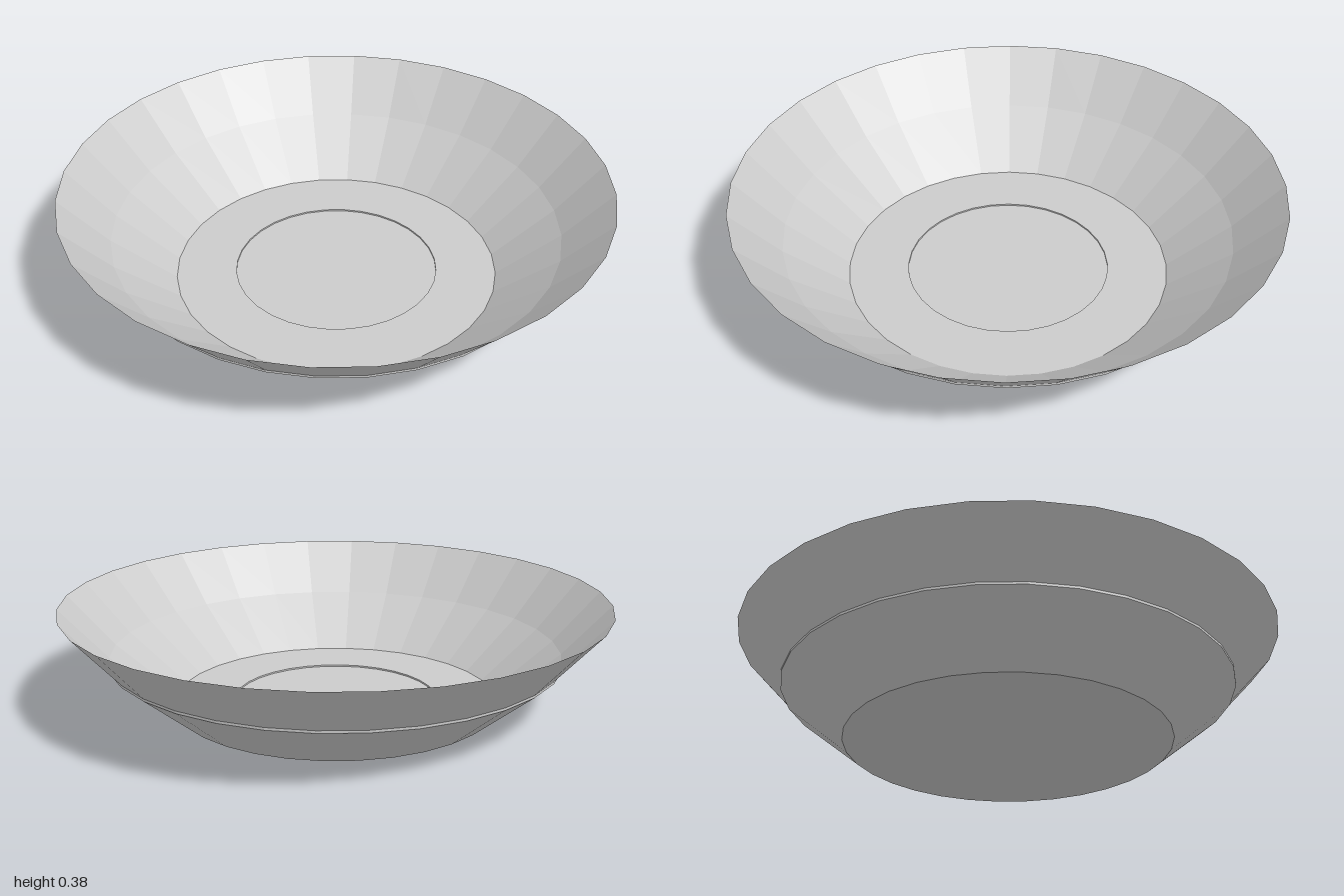
import * as THREE from 'three';

const SIDES = 32;

export function createModel() {
  const group = new THREE.Group();
  group.name = 'dish';
  const material = new THREE.MeshStandardMaterial({ color: 0xcccccc, flatShading: true });

  // Each part is a faceted ring swept from [radius, height] pairs
  const addLathe = (name, profile) => {
    const points = profile.map(([r, y]) => new THREE.Vector2(r, y));
    const mesh = new THREE.Mesh(new THREE.LatheGeometry(points, SIDES), material);
    mesh.name = name;
    group.add(mesh);
  };

  // Underside, and outer wall with a narrow band where the slope changes
  addLathe('outerWall', [[0, 0], [0.6, 0], [0.832, 0.188], [0.832, 0.197], [1, 0.382]]);

  // Inner wall, running from the sharp rim down to the floor
  addLathe('innerWall', [[1, 0.382], [0.825, 0.195], [0.598, 0.01]]);

  // Floor with a very shallow round recess
  addLathe('floor', [[0.598, 0.01], [0.376, 0.01], [0.376, 0.004], [0, 0.004]]);

  return group;
}
